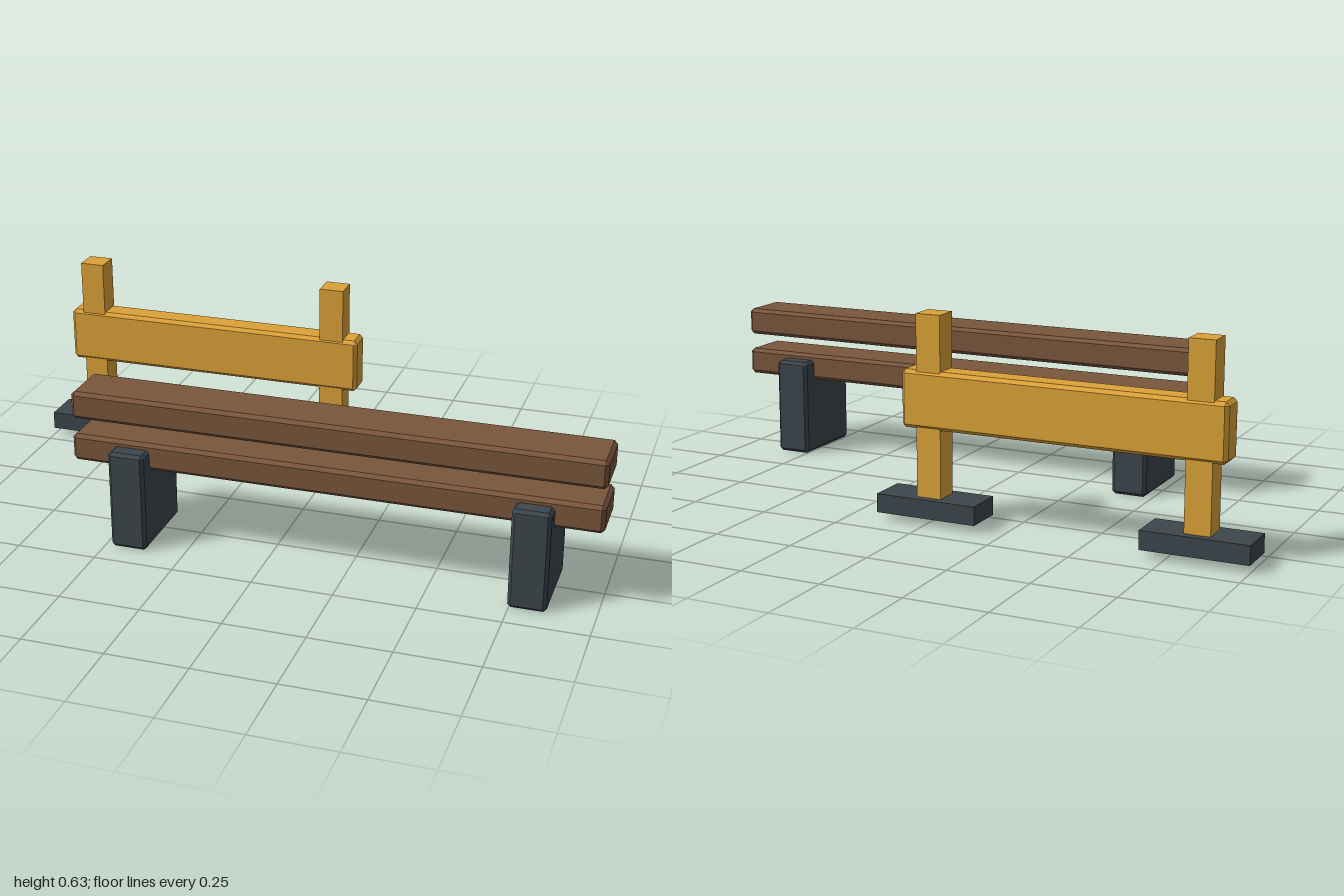
import * as THREE from 'three';
import { ConvexGeometry } from 'three/addons/geometries/ConvexGeometry.js';

const material = (color) => new THREE.MeshStandardMaterial({ color, flatShading: true });

// Box with every edge cut by a single flat chamfer
function chamferBox(w, h, d, c) {
  const points = [];
  for (const x of [-1, 1]) for (const y of [-1, 1]) for (const z of [-1, 1]) {
    for (let face = 0; face < 3; face++) {
      const inset = [0, 1, 2].map((axis) => (axis === face ? 0 : c));
      points.push(new THREE.Vector3(
        x * (w / 2 - inset[0]), y * (h / 2 - inset[1]), z * (d / 2 - inset[2])));
    }
  }
  return new ConvexGeometry(points);
}

// Adds a block given its extents along each axis
function addBlock(parent, name, mat, [x0, x1], [y0, y1], [z0, z1], chamfer = 0) {
  const size = [x1 - x0, y1 - y0, z1 - z0];
  const geometry = chamfer ? chamferBox(...size, chamfer) : new THREE.BoxGeometry(...size);
  const mesh = new THREE.Mesh(geometry, mat);
  mesh.name = name;
  mesh.position.set((x0 + x1) / 2, (y0 + y1) / 2, (z0 + z1) / 2);
  parent.add(mesh);
}

export function createModel() {
  const model = new THREE.Group();
  model.name = 'benchAndBarrier';
  const wood = material(0x7a563c);
  const slate = material(0x3d464c);
  const yellow = material(0xdca238);

  // Bench: two stacked beams and two slab supports
  const bench = new THREE.Group();
  bench.name = 'bench';
  const beamX = [-0.616, 1.0];
  const beamZ = [0.2, 0.366];
  addBlock(bench, 'upperBeam', wood, beamX, [0.385, 0.472], beamZ, 0.011);
  addBlock(bench, 'lowerBeam', wood, beamX, [0.248, 0.334], beamZ, 0.011);
  for (const [side, x] of [['right', -0.423], ['left', 0.802]]) {
    addBlock(bench, side + 'Support', slate, [x - 0.057, x + 0.057], [0, 0.314], [0.147, 0.418], 0.01);
  }
  model.add(bench);

  // Barrier: a rail through two posts on flat feet
  const barrier = new THREE.Group();
  barrier.name = 'barrier';
  addBlock(barrier, 'rail', yellow, [-0.92, 0.08], [0.287, 0.462], [-0.398, -0.311], 0.011);
  for (const [side, x] of [['right', -0.839], ['left', -0.007]]) {
    addBlock(barrier, side + 'Post', yellow, [x - 0.039, x + 0.039], [0.025, 0.629], [-0.392, -0.315]);
    addBlock(barrier, side + 'Foot', slate, [x - 0.161, x + 0.161], [0.023, 0.08], [-0.418, -0.29]);
  }
  model.add(barrier);

  return model;
}
